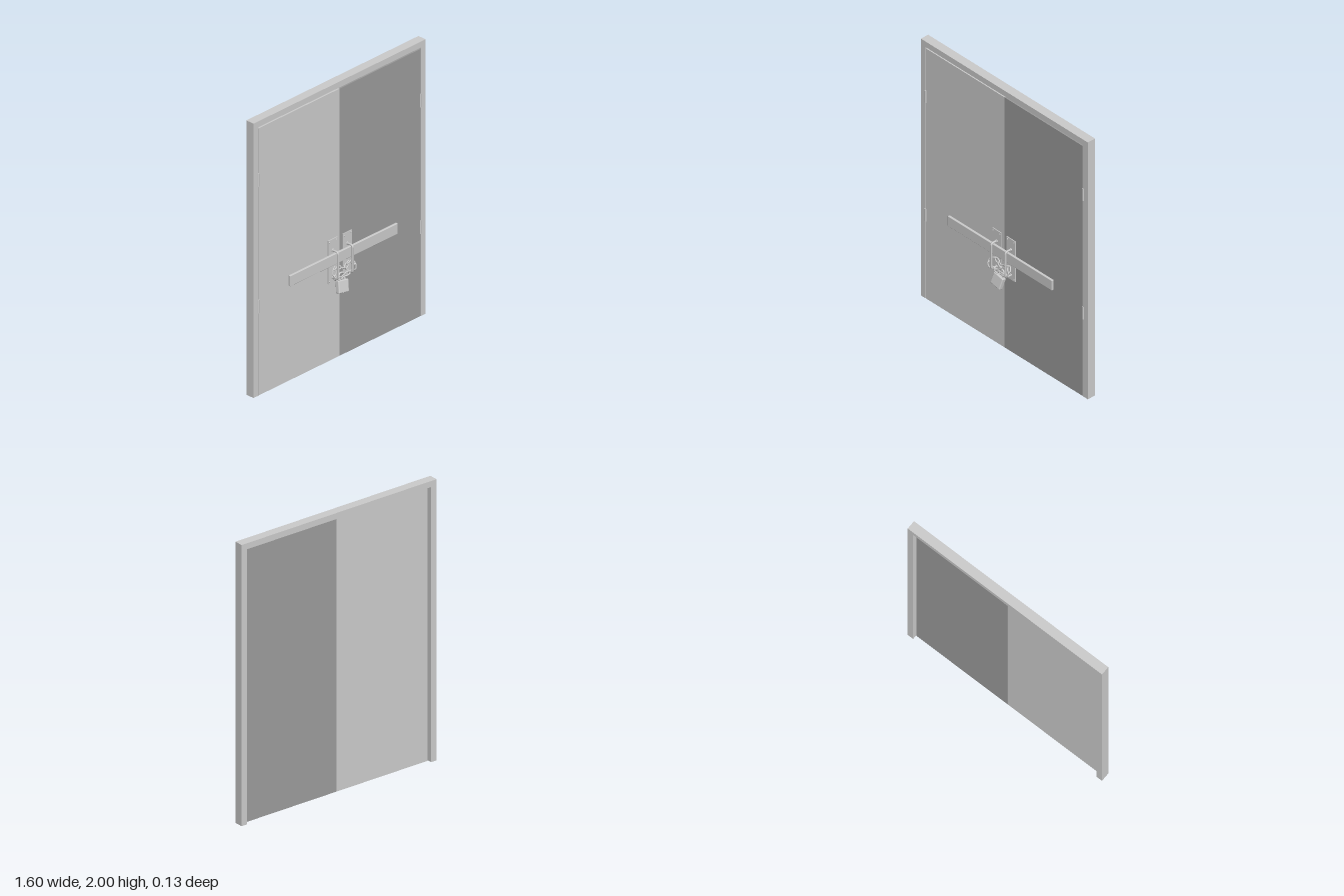
import * as THREE from 'three';
import { RoundedBoxGeometry } from 'three/addons/geometries/RoundedBoxGeometry.js';

const grey = new THREE.MeshStandardMaterial({ color: 0xcccccc });
const darkGrey = new THREE.MeshStandardMaterial({ color: 0x9b9b9b });
const V = (x, y, z) => new THREE.Vector3(x, y, z);

function add(parent, name, geometry, x = 0, y = 0, z = 0, material = grey) {
  const mesh = new THREE.Mesh(geometry, material);
  mesh.name = name;
  mesh.position.set(x, y, z);
  parent.add(mesh);
  return mesh;
}

// Round rod bent around the corners of a path
function bentRod(points, radius, bend) {
  const path = new THREE.CurvePath();
  let start = points[0];
  for (let i = 1; i < points.length; i++) {
    const p = points[i], next = points[i + 1];
    if (!next) { path.add(new THREE.LineCurve3(start, p)); break; }
    const a = p.clone().add(points[i - 1].clone().sub(p).setLength(bend));
    const b = p.clone().add(next.clone().sub(p).setLength(bend));
    path.add(new THREE.LineCurve3(start, a));
    path.add(new THREE.QuadraticBezierCurve3(a, p, b));
    start = b;
  }
  return new THREE.TubeGeometry(path, 64, radius, 10);
}

// Oval chain link, long along x, lying in the xy plane
function linkGeometry(length, width, radius) {
  const r = width / 2 - radius, half = length / 2 - radius - r;
  const points = [];
  for (let i = 0; i < 16; i++) {
    const a = ((i + 0.5) / 16) * Math.PI * 2;
    points.push(V(r * Math.cos(a) + Math.sign(Math.cos(a)) * half, r * Math.sin(a), 0));
  }
  return new THREE.TubeGeometry(new THREE.CatmullRomCurve3(points, true), 32, radius, 8, true);
}

export function createModel() {
  const model = new THREE.Group();
  model.name = 'chainedDoubleDoor';

  // Frame: two jambs and a header, open at the bottom
  const outline = new THREE.Shape([
    [-0.8, 0], [-0.755, 0], [-0.755, 1.957], [0.755, 1.957],
    [0.755, 0], [0.8, 0], [0.8, 2], [-0.8, 2],
  ].map(([x, y]) => new THREE.Vector2(x, y)));
  add(model, 'doorFrame', new THREE.ExtrudeGeometry(outline, { depth: 0.065, bevelEnabled: false }), 0, 0, -0.065);

  const screw = new THREE.SphereGeometry(0.005, 10, 6, 0, Math.PI * 2, 0, Math.PI / 2).rotateX(Math.PI / 2);
  const grip = bentRod([V(0, 0.798, 0), V(0, 0.798, 0.051), V(0, 0.6, 0.051), V(0, 0.6, 0)], 0.007, 0.018);

  for (const side of [-1, 1]) {
    const half = new THREE.Group();
    half.name = side > 0 ? 'leftDoor' : 'rightDoor';
    model.add(half);

    add(half, 'doorLeaf', new THREE.BoxGeometry(0.75, 1.947, 0.034), side * 0.3755, 0.9735, -0.018,
      side > 0 ? darkGrey : grey);

    // Hinge knuckles in the gap
    for (const y of [0.65, 1.572]) {
      add(half, 'hinge', new THREE.CylinderGeometry(0.008, 0.008, 0.096, 12), side * 0.755, y, -0.003);
    }

    // Handle plate, corner screws and pull handle
    const px = side * 0.068;
    add(half, 'handlePlate', new THREE.BoxGeometry(0.084, 0.315, 0.006), px, 0.722, 0.002);
    for (const dx of [-0.032, 0.032]) {
      for (const y of [0.578, 0.865]) add(half, 'plateScrew', screw, px + dx, y, 0.005);
    }
    add(half, 'pullHandle', grip, px, 0, 0);
    for (const y of [0.6, 0.798]) {
      add(half, 'handleCollar', new THREE.CylinderGeometry(0.011, 0.012, 0.005, 14).rotateX(Math.PI / 2), px, y, 0.007);
    }
  }

  // Bar pushed through the two handles
  add(model, 'barricadeBar', new RoundedBoxGeometry(1, 0.078, 0.018, 2, 0.004), 0, 0.75, 0.031);

  // Chain looped around both handles, every second link turned
  const chain = new THREE.Group();
  chain.name = 'chain';
  model.add(chain);
  const loop = new THREE.CatmullRomCurve3([
    V(-0.092, 0.655, 0.04), V(-0.068, 0.678, 0.025), V(-0.03, 0.667, 0.026), V(0.01, 0.652, 0.036),
    V(0.045, 0.67, 0.028), V(0.07, 0.677, 0.026), V(0.09, 0.655, 0.04), V(0.084, 0.622, 0.046),
    V(0.05, 0.602, 0.034), V(0.015, 0.592, 0.028), V(-0.02, 0.588, 0.03), V(-0.06, 0.598, 0.03),
    V(-0.09, 0.618, 0.042),
  ], true);
  const link = linkGeometry(0.05, 0.031, 0.0045);
  const count = 14;
  for (let i = 0; i < count; i++) {
    const u = i / count;
    const p = loop.getPointAt(u), t = loop.getTangentAt(u);
    const mesh = add(chain, 'chainLink', link, p.x, p.y, p.z);
    const up = V(0, 0, 1).addScaledVector(t, -t.z).normalize();
    mesh.quaternion.setFromRotationMatrix(new THREE.Matrix4().makeBasis(t, up.clone().cross(t), up));
    mesh.rotateX(i % 2 ? 1.15 : -0.35);
  }

  // Padlock hanging from the lower run of chain
  const padlock = new THREE.Group();
  padlock.name = 'padlock';
  padlock.position.set(-0.016, 0.53, 0.038);
  padlock.rotation.set(-0.24, 0, -0.17);
  model.add(padlock);
  add(padlock, 'padlockBody', new RoundedBoxGeometry(0.092, 0.086, 0.033, 3, 0.007));
  add(padlock, 'shackle', bentRod([V(-0.026, 0.03, 0), V(-0.026, 0.088, 0), V(0.026, 0.088, 0), V(0.026, 0.03, 0)], 0.006, 0.024));
  add(padlock, 'keyCylinder', new THREE.CylinderGeometry(0.01, 0.01, 0.003, 16), 0, -0.043, 0);

  return model;
}
